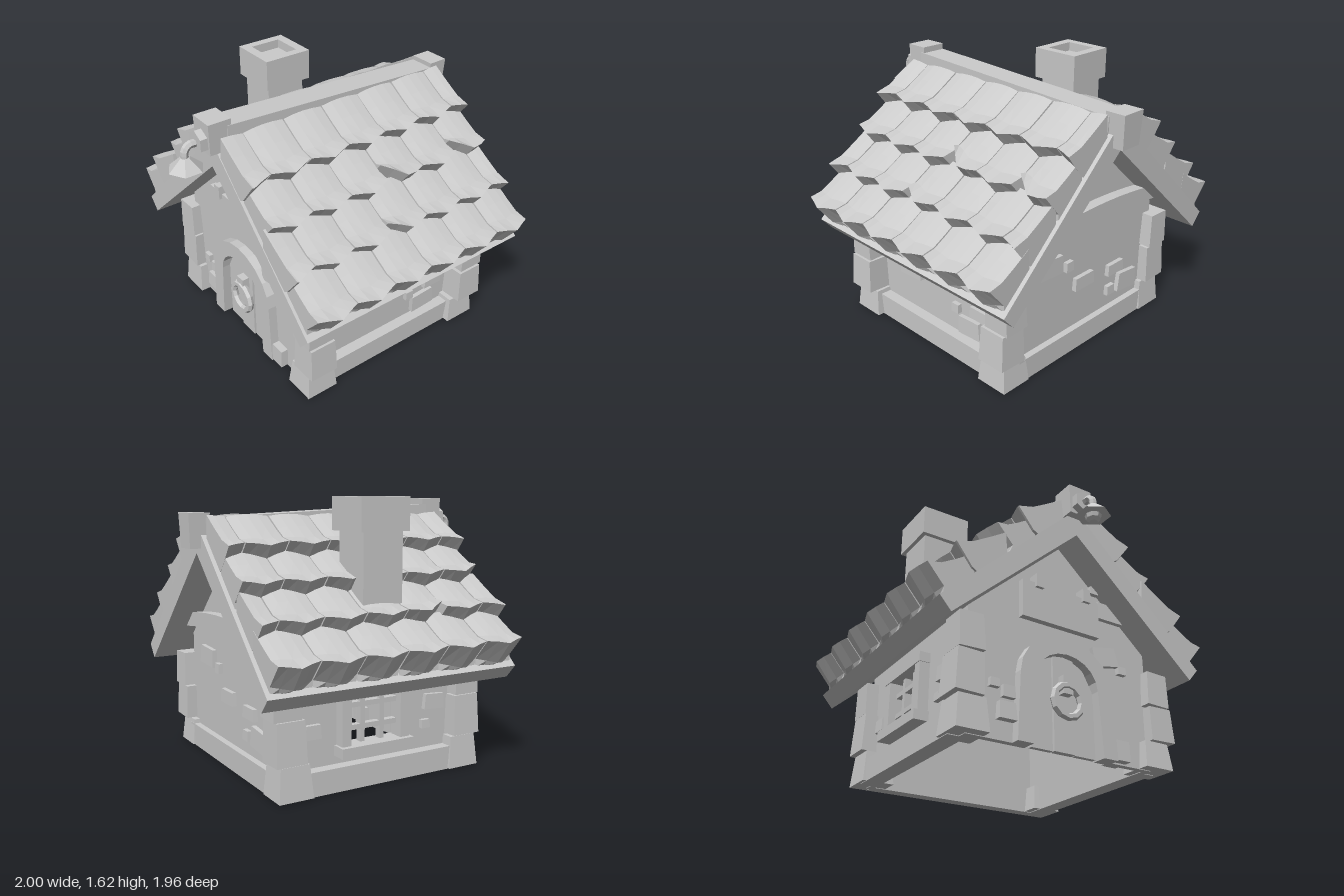
import * as THREE from 'three';

const grey = new THREE.MeshStandardMaterial({ color: 0xcccccc, flatShading: true, side: THREE.DoubleSide });

export function createModel() {
  const model = new THREE.Group();

  const add = (name, geo, x = 0, y = 0, z = 0) => {
    const mesh = new THREE.Mesh(geo, grey);
    mesh.name = name;
    mesh.position.set(x, y, z);
    model.add(mesh);
    return mesh;
  };
  // box centred at x, y, z; its top face is scaled by taper
  const block = (name, w, h, d, x, y, z, taper = 1) => {
    const geo = new THREE.BoxGeometry(w, h, d);
    const p = geo.attributes.position;
    for (let i = 0; i < p.count; i++)
      if (p.getY(i) > 0) p.setXYZ(i, p.getX(i) * taper, p.getY(i), p.getZ(i) * taper);
    geo.computeVertexNormals();
    return add(name, geo, x, y, z);
  };
  const vectors = pts => pts.map(([x, y]) => new THREE.Vector2(x, y));
  const shapeOf = pts => new THREE.Shape(vectors(pts));
  const extrude = (name, shape, z0, z1) =>
    add(name, new THREE.ExtrudeGeometry(shape, { depth: z1 - z0, bevelEnabled: false, curveSegments: 7 }), 0, 0, z0);
  // arch outline standing on the ground, with legs that widen at the foot
  const archPoints = (r, top, foot) => {
    const pts = [[foot, 0]];
    for (let i = 0; i <= 10; i++) {
      const a = Math.PI * i / 10;
      pts.push([r * Math.cos(a), top - r * 0.85 + r * 0.85 * Math.sin(a)]);
    }
    pts.push([-foot, 0]);
    return pts;
  };

  // walls, open underneath
  const gable = [[-0.62, 0], [0.62, 0], [0.62, 0.74], [0, 1.31], [-0.62, 0.74]];
  const opening = archPoints(0.21, 0.57, 0.235).reverse();
  extrude('frontWall', shapeOf([...gable.slice(1), [-0.62, 0], ...opening]), 0.48, 0.52);
  extrude('backWall', shapeOf(gable), -0.71, -0.67);
  block('rightWall', 0.04, 0.74, 1.15, 0.6, 0.37, -0.095);
  const leftShape = shapeOf([[-0.48, 0], [0.67, 0], [0.67, 0.74], [-0.48, 0.74]]);
  leftShape.holes.push(new THREE.Path(vectors([[-0.04, 0.25], [0.31, 0.25], [0.31, 0.56], [-0.04, 0.56]])));
  const leftWall = extrude('leftWall', leftShape, 0, 0.04);
  leftWall.rotation.y = Math.PI / 2;
  leftWall.position.x = -0.62;
  for (const s of [-1, 1]) block('sidePlinth', 0.09, 0.14, 1.1, s * 0.645, 0.07, -0.09);
  block('backPlinth', 1.2, 0.14, 0.08, 0, 0.07, -0.71);

  // gently arched tie beam across the back gable
  const tie = new THREE.Shape();
  tie.moveTo(-0.6, 0.79);
  tie.quadraticCurveTo(0, 0.87, 0.6, 0.79);
  tie.lineTo(0.5, 0.89);
  tie.quadraticCurveTo(0, 0.96, -0.5, 0.89);
  extrude('backTieBeam', tie, -0.78, -0.7);

  // corner stones: three stacked, tapered blocks
  for (const sx of [-1, 1]) for (const front of [true, false]) {
    const heights = sx > 0 ? [0.17, 0.22, 0.22] : [0.2, 0.25, 0.22];
    const outs = sx > 0 ? [0.735, 0.765, 0.745] : [0.71, 0.715, 0.705];
    let y = 0;
    heights.forEach((h, i) => {
      const w = [0.2, 0.175, 0.16][i], back = [0.758, 0.775, 0.785][i];
      const stone = block('cornerStone', w, h - 0.008, w + 0.01,
        sx * (outs[i] - w / 2), y + h / 2, front ? 0.582 - w / 2 : w / 2 - back, [0.84, 0.92, 0.92][i]);
      stone.rotation.z = sx * [0, 0.03, -0.03][i];
      y += h;
    });
  }

  // door: surround, planks and ring knocker
  extrude('doorSurround', shapeOf([...archPoints(0.315, 0.67, 0.335), ...opening]), 0.5, 0.575);
  [-0.145, 0, 0.145].forEach((x, i) => {
    const l = x - 0.07, r = x + 0.07;
    const top = v => 0.39 + 0.18 * Math.sqrt(Math.max(0, 1 - (v / 0.215) ** 2));
    extrude('doorPlank', shapeOf([[l, 0], [r, 0], [r, top(r)], [x, top(x)], [l, top(l)]]), 0.49, 0.52 + (i === 1 ? 0.01 : 0));
  });
  block('knockerPlate', 0.065, 0.11, 0.055, 0, 0.385, 0.55);
  add('knockerRing', new THREE.TorusGeometry(0.093, 0.023, 6, 12), 0, 0.29, 0.566);
  block('doorFoot', 0.1, 0.12, 0.14, 0.38, 0.07, 0.5, 0.95);
  block('doorFoot', 0.11, 0.1, 0.14, -0.385, 0.16, 0.495, 0.9);

  // loose stones set in the walls: [along, height, width, tall, tilt]
  const stones = {
    front: [[-0.46, 0.31, 0.06, 0.05, 0], [-0.37, 0.275, 0.08, 0.07, 0], [0.3, 0.64, 0.18, 0.12, 0.2],
      [0.425, 0.58, 0.06, 0.05, 0], [0.24, 1.07, 0.06, 0.05, 0], [0.35, 0.945, 0.19, 0.11, 0]],
    back: [[0.33, 0.63, 0.2, 0.11, 0.05], [0.17, 0.58, 0.06, 0.06, 0], [0.03, 0.43, 0.17, 0.08, 0],
      [-0.27, 0.4, 0.15, 0.07, 0], [-0.23, 0.26, 0.07, 0.06, 0], [-0.39, 0.27, 0.18, 0.12, 0.1]],
    right: [[0.295, 0.5, 0.06, 0.055, 0], [0.135, 0.415, 0.19, 0.11, 0.05], [-0.27, 0.31, 0.06, 0.055, 0],
      [-0.385, 0.22, 0.18, 0.11, 0.06], [-0.465, 0.34, 0.14, 0.07, 0]],
    left: [[0.3, 0.42, 0.14, 0.09, 0.05], [0.24, 0.29, 0.06, 0.05, 0], [-0.52, 0.35, 0.1, 0.08, 0]],
  };
  for (const [side, list] of Object.entries(stones)) for (const [a, y, w, h, tilt] of list) {
    if (side === 'front' || side === 'back')
      block('wallStone', w, h, 0.06, a, y, side === 'front' ? 0.52 : -0.71, 0.92).rotation.z = tilt;
    else
      block('wallStone', 0.06, h, w, side === 'right' ? 0.62 : -0.62, y, a, 0.92).rotation.x = tilt;
  }

  // barred window in the side wall
  for (const z of [-0.33, 0.06]) block('windowPost', 0.09, 0.32, 0.06, -0.64, 0.4, z);
  block('windowSill', 0.13, 0.06, 0.48, -0.65, 0.22, -0.135);
  block('windowLintel', 0.1, 0.06, 0.46, -0.64, 0.58, -0.135);
  for (const z of [-0.2, -0.07]) block('windowBar', 0.04, 0.32, 0.03, -0.62, 0.41, z);
  for (const y of [0.34, 0.47]) block('windowCrossBar', 0.04, 0.03, 0.38, -0.62, y, -0.135);

  // hanging sign
  block('signBoard', 0.54, 0.235, 0.04, -0.025, 0.86, 0.55).rotation.z = -0.01;
  for (const x of [-0.185, 0.15]) block('signHook', 0.052, 0.085, 0.08, x, 0.99, 0.55);

  // roof slab
  extrude('roofSlab', shapeOf([[0.89, 0.635], [0, 1.475], [-0.89, 0.635], [-0.82, 0.555], [0, 1.3], [0.82, 0.555]]), -0.915, 0.705);

  // roof tile: flared profile swept across z, pointed at the eave; chip shortens one side
  const profile = [[0, 0], [-0.1, 0.03], [-0.2, 0.09], [-0.31, 0.16], [-0.32, 0.02], [-0.14, -0.15], [-0.1, -0.13]];
  const tileGeometry = (z0, z1, chip) => {
    const n = profile.length, pos = [], idx = [];
    const cols = [-1, -0.5, 0, 0.5, 1].map(u => u * 0.13).filter(z => z > z0 && z < z1);
    const zs = [z0, ...cols, z1];
    zs.forEach(z => {
      const u = z / 0.13;
      const back = 0.042 * Math.abs(u) + chip * Math.max(0, u + 0.3);
      for (const [i, [x, y]] of profile.entries()) {
        const tip = i === 0 || i === n - 1 ? 1 : i === 1 ? 0.5 : 0;
        pos.push(x - back * tip, y + back * 0.7 * tip - (i < 4 ? 0.012 * u * u : 0), z);
      }
    });
    for (let k = 0; k < zs.length - 1; k++) for (let i = 0; i < n; i++) {
      const a = k * n + i, b = k * n + (i + 1) % n;
      idx.push(a, b, b + n, a, b + n, a + n);
    }
    const last = (zs.length - 1) * n;
    for (let i = 0; i < n - 2; i++) {
      idx.push(n - 1, i + 1, i, last + n - 1, last + i, last + i + 1);
    }
    const geo = new THREE.BufferGeometry();
    geo.setAttribute('position', new THREE.Float32BufferAttribute(pos, 3));
    geo.setIndex(idx);
    geo.computeVertexNormals();
    return geo;
  };
  const chips = { '1,1,3': 0.03, '1,2,3': 0.06, '1,2,5': 0.05, '-1,2,0': 0.02, '-1,1,2': 0.03 };
  for (const s of [-1, 1]) for (let row = 0; row < 4; row++) for (let k = 0; k < 7; k++) {
    const c = (row % 2 ? 0.69 : 0.557) - k * 0.267;
    const z0 = Math.max(c - 0.13, -0.89), z1 = Math.min(c + 0.13, 0.7);
    if (z1 - z0 < 0.03) continue;
    const geo = tileGeometry(z0 - c, z1 - c, chips[[s, row, k]] || 0);
    const tile = add('roofTile', geo, s * (1 - 0.197 * row), 0.8 + 0.186 * row, c);
    if (s < 0) geo.scale(-1, 1, 1).setIndex([...geo.index.array].reverse()).computeVertexNormals();
    tile.rotation.x = 0.015 * Math.sin(k * 2.3 + row * 1.7);
  }

  // ridge beam, sloping to the back, with end blocks
  block('ridgeBeam', 0.165, 0.15, 1.53, 0, 1.46, -0.12).rotation.x = -0.045;
  block('ridgeFrontBlock', 0.15, 0.19, 0.135, 0, 1.51, 0.685, 1.07);
  block('ridgeBackBlock', 0.14, 0.2, 0.11, 0, 1.43, -0.925, 1.15);

  // chimney with a hollow cap
  block('chimneyShaft', 0.25, 0.63, 0.26, -0.545, 1.14, -0.09);
  const square = (w, d) => [[-w, -d], [w, -d], [w, d], [-w, d]];
  const capShape = shapeOf(square(0.155, 0.16));
  capShape.holes.push(new THREE.Path(vectors(square(0.1, 0.1))));
  const cap = add('chimneyCap', new THREE.ExtrudeGeometry(capShape, { depth: 0.19, bevelEnabled: false }), -0.54, 1.43, -0.09);
  cap.rotation.x = -Math.PI / 2;
  block('chimneyCapFloor', 0.22, 0.12, 0.22, -0.54, 1.505, -0.09);

  // lamp on a gooseneck
  const mount = add('lampMount', new THREE.CylinderGeometry(0.07, 0.07, 0.05, 6), 0, 1.485, 0.775);
  mount.rotation.x = Math.PI / 2;
  const neck = new THREE.CatmullRomCurve3([[0.79, 1.48], [0.835, 1.482], [0.865, 1.455], [0.87, 1.39]]
    .map(([z, y]) => new THREE.Vector3(0, y, z)));
  add('lampNeck', new THREE.TubeGeometry(neck, 8, 0.023, 6), 0, 0, 0);
  add('lampShade', new THREE.CylinderGeometry(0.028, 0.105, 0.07, 6), 0, 1.38, 0.868);
  add('lampBulb', new THREE.SphereGeometry(0.05, 8, 6), 0, 1.345, 0.868);

  return model;
}
